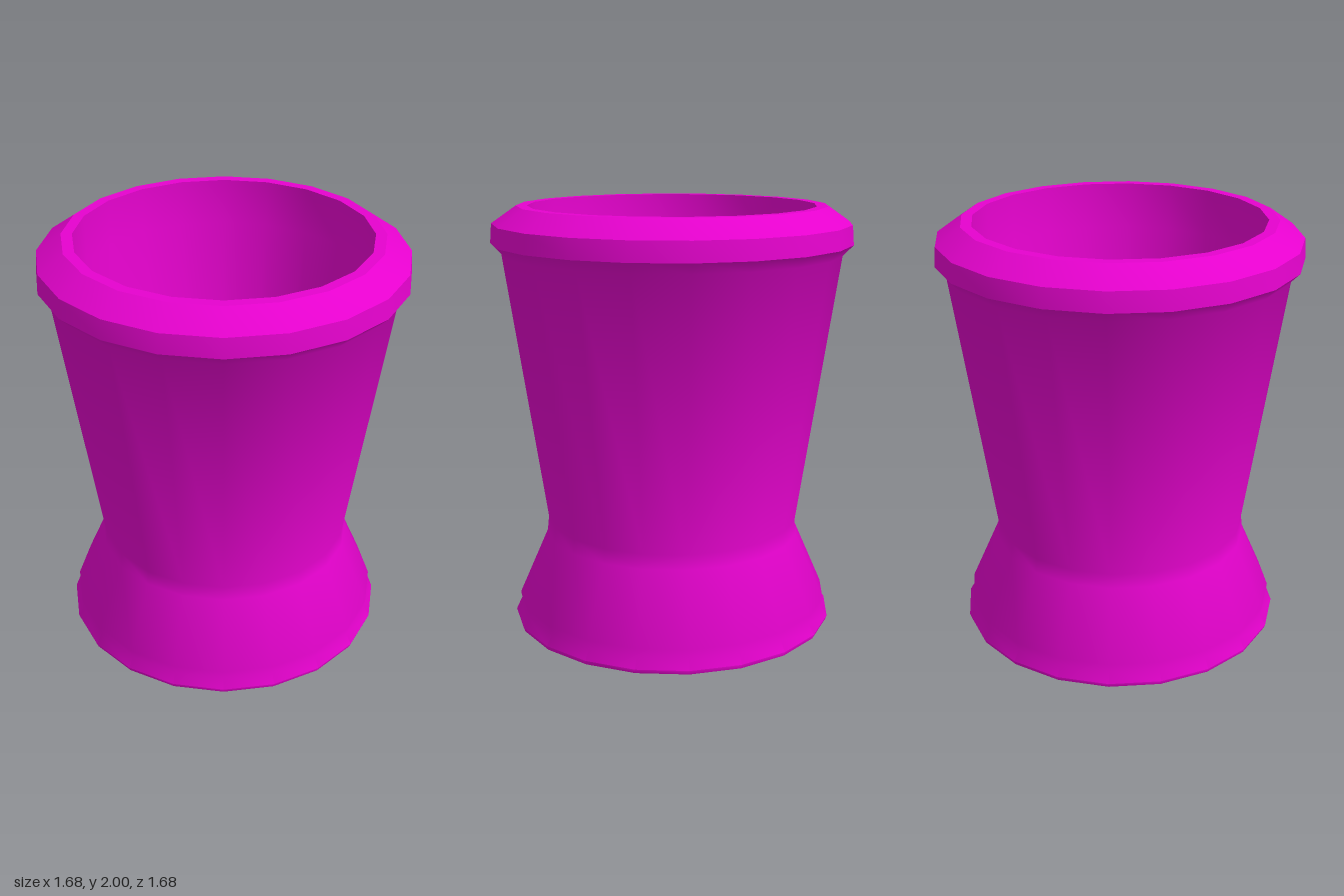
import * as THREE from 'three';
import { toCreasedNormals } from 'three/addons/utils/BufferGeometryUtils.js';

const SIDES = 20;

export function createModel() {
  const group = new THREE.Group();
  group.name = 'cup';
  const material = new THREE.MeshStandardMaterial({ color: 0xe602ce });

  // Turns a profile of [radius, height] points; edges sharper than the crease angle stay hard
  const turned = (name, creaseDegrees, profile) => {
    const points = profile.map(([r, y]) => new THREE.Vector2(r, y));
    const lathe = new THREE.LatheGeometry(points, SIDES);
    const geometry = toCreasedNormals(lathe, THREE.MathUtils.degToRad(creaseDegrees));
    const mesh = new THREE.Mesh(geometry, material);
    mesh.name = name;
    group.add(mesh);
  };

  // Underside, foot moulding, flared foot, waist, tapered wall and the flare under the rim
  turned('body', 50, [
    [0, 0], [0.768, 0], [0.775, 0.02], [0.745, 0.07], [0.752, 0.11],
    [0.612, 0.43], [0.605, 0.5], [0.793, 1.78], [0.842, 1.83],
  ]);

  // Bevelled rim with a narrow flat lip
  turned('rim', 30, [[0.842, 1.83], [0.835, 1.92], [0.72, 2], [0.67, 2]]);

  // Hollow inside: upright neck, then a taper to a flat floor
  turned('interior', 30, [[0.67, 2], [0.67, 1.78], [0.425, 0.4], [0, 0.4]]);

  return group;
}
